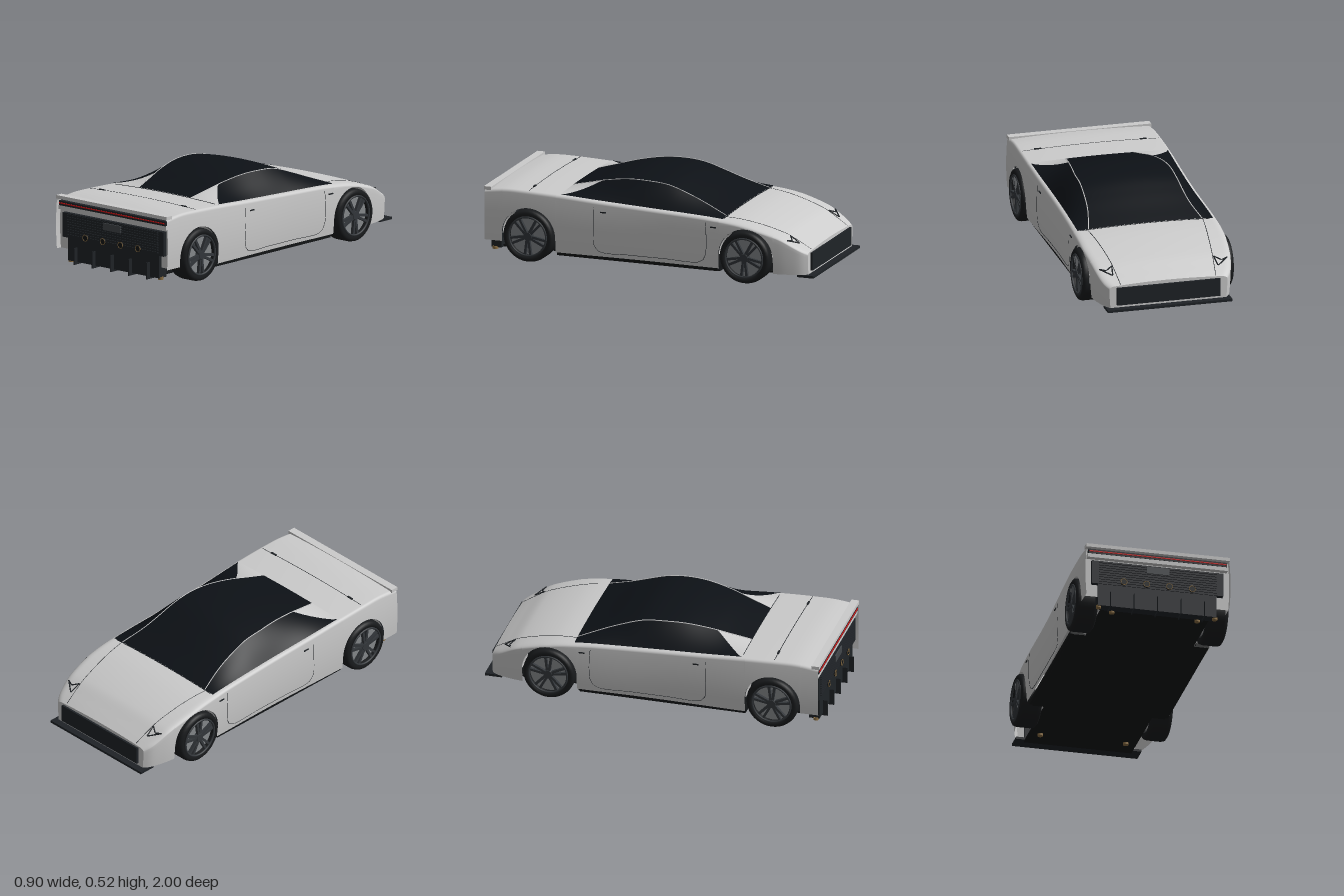
import * as THREE from 'three';

const mat = (color, rough = 0.6) => new THREE.MeshStandardMaterial({ color, roughness: rough, side: THREE.DoubleSide });
const GREY = new THREE.MeshStandardMaterial({ color: 0xcccccc, side: THREE.DoubleSide });
const GLASS = mat(0x0d1116), DARK = mat(0x1f2327), BLACK = mat(0x121416), TYRE = mat(0x191b1d);
const RIM = mat(0x33373b), DISC = mat(0x85888b), RED = mat(0xd01515), GOLD = mat(0x8c7045);
const V = (x, y, z) => new THREE.Vector3(x, y, z);

// Smooth curve through [z, value] pairs
function curve(p) {
  const slope = i => {
    const a = p[Math.max(i - 1, 0)], b = p[Math.min(i + 1, p.length - 1)];
    return (b[1] - a[1]) / (b[0] - a[0]);
  };
  return z => {
    let i = 0;
    while (i < p.length - 2 && z > p[i + 1][0]) i++;
    const d = p[i + 1][0] - p[i][0], t = THREE.MathUtils.clamp((z - p[i][0]) / d, 0, 1), t2 = t * t, t3 = t2 * t;
    return (2 * t3 - 3 * t2 + 1) * p[i][1] + (t3 - 2 * t2 + t) * d * slope(i)
      + (3 * t2 - 2 * t3) * p[i + 1][1] + (t3 - t2) * d * slope(i + 1);
  };
}

// Surface through rows of points
function grid(rows) {
  const n = rows[0].length, idx = [];
  for (let i = 0; i < rows.length - 1; i++) for (let j = 0; j < n - 1; j++) {
    const a = i * n + j;
    idx.push(a, a + n, a + 1, a + 1, a + n, a + n + 1);
  }
  const g = new THREE.BufferGeometry().setFromPoints(rows.flat());
  g.setIndex(idx);
  g.computeVertexNormals();
  return g;
}
const range = (a, b, n) => Array.from({ length: n + 1 }, (_, i) => a + (b - a) * i / n);

// Body shape rules
const NOSE = -0.96, TAIL = 0.985, AXLES = [-0.605, 0.715], AXLE_Y = 0.157, ARCH = 0.163, CROWN = 0.01;
const width = curve([[-0.96, 0.35], [-0.93, 0.372], [-0.88, 0.39], [-0.8, 0.407], [-0.6, 0.425], [0, 0.42], [0.6, 0.43], [0.985, 0.425]]);
const top = curve([[-0.96, 0.2], [-0.9, 0.235], [-0.8, 0.288], [-0.6, 0.343], [-0.43, 0.362], [0, 0.381], [0.3, 0.396],
  [0.53, 0.41], [0.75, 0.418], [0.86, 0.418], [0.985, 0.404]]);
const sideX = (z, y) => width(z) * (1 - 0.03 * ((0.25 - y) / 0.2) ** 2);
const round = z => (z < -0.46 ? 0.045 : z < -0.36 ? 0.045 - 0.2 * (z + 0.46) : 0.025);
const deckY = (z, x) => top(z) + CROWN * (1 - (x / (width(z) - round(z))) ** 2);

// Half of a body section, from lower edge to centre line
function half(z, bottom) {
  const pts = [], sh = Math.max(top(z) - 0.018, bottom + 0.003), r = round(z);
  for (const y of range(bottom, sh, 8)) pts.push(V(sideX(z, y), y, z));
  const x0 = sideX(z, sh), xi = width(z) - r;
  for (const a of range(0, Math.PI / 2, 5).slice(1))
    pts.push(V(xi + (x0 - xi) * Math.cos(a), sh + (top(z) - sh) * Math.sin(a), z));
  for (const x of range(xi, 0, 8).slice(1)) pts.push(V(x, deckY(z, x), z));
  return pts;
}
const mirror = pts => pts.map(p => V(-p.x, p.y, p.z));

// Cabin shape rules
const GLASS0 = -0.46, GLASS1 = 0.53;
const rise = curve([[-0.46, 0], [-0.35, 0.036], [-0.22, 0.083], [-0.1, 0.121], [0, 0.131], [0.15, 0.121], [0.3, 0.084], [0.42, 0.04], [0.53, 0]]);
const railX = curve([[-0.46, 0.335], [-0.3, 0.296], [-0.1, 0.28], [0.05, 0.277], [0.25, 0.25], [0.4, 0.222], [0.53, 0.198]]);
const sidePoint = (z, t, s, lift = 0) => {
  const x = THREE.MathUtils.lerp(width(z) - 0.026, railX(z), t);
  return V(s * x, deckY(z, x) + 0.004 + lift + rise(z) * (0.9 * t + 0.05 * Math.sin(Math.PI * t)), z);
};

export function createModel() {
  const car = new THREE.Group();
  car.name = 'sportsCar';
  const add = (name, geo, material, parent = car) => {
    const m = new THREE.Mesh(geo, material);
    m.name = name;
    parent.add(m);
    return m;
  };
  // Box from its limits
  const box = (name, x0, x1, y0, y1, z0, z1, m) =>
    add(name, new THREE.BoxGeometry(x1 - x0, y1 - y0, z1 - z0), m).position.set((x0 + x1) / 2, (y0 + y1) / 2, (z0 + z1) / 2);
  const line = (name, pts, r, m) =>
    add(name, new THREE.TubeGeometry(new THREE.CatmullRomCurve3(pts, false, 'centripetal'), pts.length * 3, r, 5), m);

  // Body shell with wheel arches cut into the lower edge
  const edge = [];
  const run = (z0, z1, y, n) => range(z0, z1, n).forEach(z => edge.push([z, y]));
  const arch = c => range(Math.PI, 0, 24).forEach(a => edge.push([c + ARCH * Math.cos(a), AXLE_Y + ARCH * Math.sin(a)]));
  run(NOSE, AXLES[0] - ARCH, 0.07, 12);
  arch(AXLES[0]);
  run(AXLES[0] + ARCH, AXLES[1] - ARCH, 0.075, 36);
  arch(AXLES[1]);
  run(AXLES[1] + ARCH, TAIL, 0.11, 8);
  add('bodyShell', grid(edge.map(([z, b]) => {
    const h = half(z, b);
    return [...h, ...mirror(h).reverse().slice(1)];
  })), GREY);
  for (const [name, z, b] of [['nosePanel', NOSE, 0.07], ['tailPanel', 0.95, 0.11]]) {
    const h = half(z, b);
    add(name, grid([h, mirror(h)]), GREY);
  }

  // Roof, windscreen and rear glass in one sweep
  const zs = range(GLASS0, GLASS1, 44);
  add('roofGlass', grid(zs.map(z => range(-1, 1, 16).map(t => {
    const x = t * railX(z);
    return V(x, deckY(z, x) + 0.004 + rise(z) * (1 - 0.1 * t * t), z);
  }))), GLASS);

  for (const s of [1, -1]) {
    // Side windows, rear pillars and roof rails
    const split = z => THREE.MathUtils.clamp(1 - (z - 0.34) / 0.18, 0, 1);
    add('sideWindow', grid(zs.map(z => range(0, split(z), 8).map(t => sidePoint(z, t, s)))), GLASS);
    add('rearPillar', grid(range(0.34, GLASS1, 12).map(z => range(split(z), 1, 8).map(t => sidePoint(z, t, s)))), GREY);
    line('roofRail', range(GLASS0, GLASS1, 24).map(z => sidePoint(z, 1, s)), 0.003, GREY);

    // Door seam, handle, vent and hood seam
    const onSide = (z, y, o = 0) => V(s * (sideX(z, y) + o), y, z);
    const door = [[0.32, 0.36], [0.32, 0.25], [0.318, 0.14], [0.29, 0.105], [0.1, 0.1], [-0.1, 0.1], [-0.33, 0.105], [-0.36, 0.14], [-0.368, 0.25], [-0.362, 0.34]];
    line('doorSeam', door.map(([z, y]) => onSide(z, y)), 0.0016, DARK);
    for (const [name, z, y] of [['doorHandle', 0.262, 0.337], ['sideVent', -0.412, 0.315]])
      add(name, new THREE.BoxGeometry(0.008, 0.007, 0.035), DARK).position.copy(onSide(z, y));
    line('hoodSeam', range(-0.955, -0.46, 10).map(z => {
      const x = 0.34 + (z + 0.46) * 0.12;
      return V(s * x, deckY(z, x), z);
    }), 0.0018, DARK);

    // Headlight: slim triangular outline
    const lamp = [[0.295, -0.895], [0.305, -0.835], [0.372, -0.885], [0.335, -0.87], [0.295, -0.895]]
      .map(([x, z]) => [x + 0.005, -1.73 - z])
      .map(([x, z]) => V(s * x, deckY(z, x) + 0.002, z));
    for (let i = 0; i < 4; i++) line('headlight', [lamp[i], lamp[i + 1]], 0.004, DARK);

    // Sill, diffuser feet and deck hinge
    box('sill', s > 0 ? 0.33 : -0.405, s > 0 ? 0.405 : -0.33, 0.055, 0.077, -0.43, 0.55, BLACK);
    for (const [x, z] of [[0.34, 0.95], [0.25, 0.9], [0.25, -0.8]]) {
      const foot = add('underbodyPeg', new THREE.CylinderGeometry(0.016, 0.016, 0.016, 12), GOLD);
      foot.position.set(s * x, 0.048, z);
    }
    box('deckHinge', s * 0.31 - 0.02, s * 0.31 + 0.02, 0.42, 0.426, 0.715, 0.726, DARK);

    // Wheels and arch liners
    for (const z of AXLES) {
      const liner = add('archLiner', new THREE.CylinderGeometry(ARCH, ARCH, 0.115, 24, 1, true, 0, Math.PI), GREY);
      liner.rotation.z = Math.PI / 2;
      liner.position.set(s * 0.355, AXLE_Y, z);
      const wheel = new THREE.Group();
      wheel.name = z < 0 ? 'frontWheel' : 'rearWheel';
      wheel.position.set(s * 0.382, AXLE_Y, z);
      wheel.rotation.z = -s * Math.PI / 2;
      const tyre = [[0.112, -0.06], [0.135, -0.066], [0.148, -0.058], [0.152, -0.04], [0.152, 0.04], [0.148, 0.056], [0.135, 0.064], [0.114, 0.06], [0.112, -0.06]];
      add('tyre', new THREE.LatheGeometry(tyre.map(p => new THREE.Vector2(...p)), 40), TYRE, wheel);
      const lip = add('rimLip', new THREE.TorusGeometry(0.113, 0.006, 8, 40), RIM, wheel);
      lip.rotation.x = Math.PI / 2;
      lip.position.y = 0.061;
      add('brakeDisc', new THREE.CylinderGeometry(0.112, 0.112, 0.06, 32), DISC, wheel).position.y = 0.005;
      add('hub', new THREE.CylinderGeometry(0.024, 0.03, 0.025, 20), RIM, wheel).position.y = 0.052;
      for (let i = 0; i < 5; i++) {
        const a = i * Math.PI * 2 / 5, arm = new THREE.Group();
        arm.name = 'spoke';
        arm.rotation.y = a;
        wheel.add(arm);
        for (const k of [1, -1]) {
          const bar = add('spokeBar', new THREE.BoxGeometry(0.1, 0.018, 0.014), RIM, arm);
          bar.position.set(0.063, 0.052, k * 0.011);
          bar.rotation.y = -k * 0.13;
        }
      }
      car.add(wheel);
    }
  }

  // Underfloor and nose
  box('underfloor', -0.315, 0.315, 0.053, 0.062, -0.93, 0.93, BLACK);
  box('midFloor', -0.39, 0.39, 0.053, 0.06, -0.44, 0.55, BLACK);
  box('frontSplitter', -0.367, 0.367, 0.056, 0.07, -1, -0.9, DARK);
  box('frontGrille', -0.305, 0.305, 0.085, 0.19, -0.972, -0.95, DARK);

  // Seams across hood and rear deck, rear lip
  line('deckSeam', range(-0.4, 0.4, 12).map(x => V(x, deckY(0.72, x), 0.72)), 0.0018, DARK);
  for (const z of [GLASS0, GLASS1])
    line('glassSeam', range(-0.38, 0.38, 12).map(x => V(x, deckY(z, x) + 0.001, z)), 0.002, DARK);
  box('rearLip', -0.42, 0.42, 0.402, 0.422, 0.945, 0.99, GREY);

  // Tail: light bar, vent panel, blank plate, exhausts
  box('lightBarHousing', -0.405, 0.405, 0.365, 0.392, 0.95, 0.984, DARK);
  box('lightBar', -0.4, 0.4, 0.376, 0.382, 0.95, 0.988, RED);
  box('tailBeam', -0.41, 0.41, 0.342, 0.365, 0.95, 0.982, GREY);
  box('ventPanel', -0.385, 0.385, 0.183, 0.325, 0.93, 0.977, DARK);
  for (const y of range(0.2, 0.316, 8)) box('ventSlat', -0.345, 0.345, y - 0.004, y + 0.004, 0.97, 0.983, DARK);
  box('plate', -0.065, 0.065, 0.273, 0.314, 0.97, 0.99, mat(0x44484c));
  for (const x of [-0.2, -0.067, 0.067, 0.2]) {
    const pipe = add('exhaustPipe', new THREE.CylinderGeometry(0.018, 0.018, 0.04, 20), BLACK);
    pipe.rotation.x = Math.PI / 2;
    pipe.position.set(x, 0.204, 0.97);
    add('exhaustRing', new THREE.TorusGeometry(0.018, 0.002, 6, 24), GOLD).position.set(x, 0.204, 0.99);
  }

  // Diffuser with upright fins
  box('diffuser', -0.347, 0.347, 0.05, 0.183, 0.91, 0.972, DARK);
  for (const x of [-0.275, -0.138, 0, 0.138, 0.275]) box('diffuserFin', x - 0.003, x + 0.003, 0.038, 0.135, 0.91, 1, DARK);
  return car;
}
